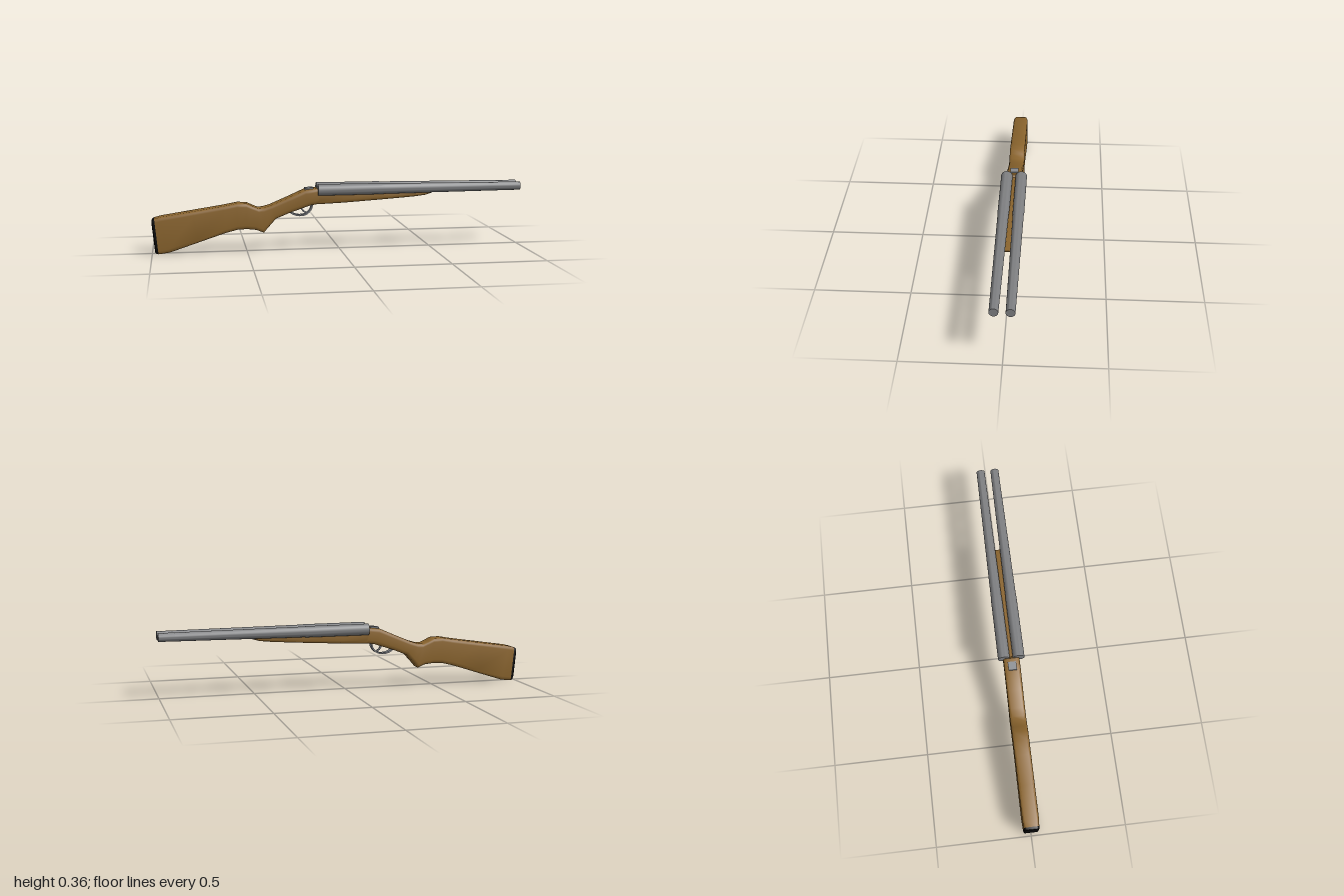
import * as THREE from 'three';
import { toCreasedNormals } from 'three/addons/utils/BufferGeometryUtils.js';

const material = (name, color, side = THREE.FrontSide) => {
  const m = new THREE.MeshStandardMaterial({ color, side });
  m.name = name;
  return m;
};

// Lofts rounded rectangles along x; station = [topX, topY, bottomX, bottomY, halfWidth]
function loft(stations) {
  const pos = [], index = [], N = 16;
  for (const [tx, ty, bx, by, hw] of stations) {
    const hh = (ty - by) / 2, rz = Math.min(0.012, hw * 0.5), ry = Math.min(0.02, hh * 0.5);
    for (let k = 0; k < 4; k++) for (let j = 0; j < 4; j++) {
      const a = (k + j / 3) * Math.PI / 2, mid = (k + 0.5) * Math.PI / 2;
      const z = -(Math.sign(Math.cos(mid)) * (hw - rz) + Math.cos(a) * rz);
      const y = Math.sign(Math.sin(mid)) * (hh - ry) + Math.sin(a) * ry;
      const v = (y + hh) / (2 * hh);
      pos.push(bx + (tx - bx) * v, by + (ty - by) * v, z);
    }
  }
  const last = stations.length - 1;
  for (let s = 0; s < last; s++) for (let i = 0; i < N; i++) {
    const a = s * N + i, b = s * N + (i + 1) % N;
    index.push(a, b, a + N, b, b + N, a + N);
  }
  for (let i = 1; i < N - 1; i++) {
    index.push(0, i + 1, i);
    index.push(last * N, last * N + i, last * N + i + 1);
  }
  const g = new THREE.BufferGeometry();
  g.setAttribute('position', new THREE.Float32BufferAttribute(pos, 3));
  g.setIndex(index);
  return toCreasedNormals(g, 0.65);
}

// Flat strip following a curve in the xy plane
function strip(points, thickness, width) {
  const curve = new THREE.CatmullRomCurve3(points.map(([x, y]) => new THREE.Vector3(x, y, 0)));
  const n = 18, outer = [], inner = [];
  for (let i = 0; i <= n; i++) {
    const p = curve.getPoint(i / n), t = curve.getTangent(i / n), h = thickness / 2;
    outer.push(new THREE.Vector2(p.x + t.y * h, p.y - t.x * h));
    inner.unshift(new THREE.Vector2(p.x - t.y * h, p.y + t.x * h));
  }
  const g = new THREE.ExtrudeGeometry(new THREE.Shape([...outer, ...inner]), { depth: width, bevelEnabled: false });
  g.translate(0, 0, -width / 2);
  return toCreasedNormals(g, 0.6);
}

export function createModel() {
  const wood = material('wood', 0x8a642d);
  const steel = material('barrel steel', 0x7d7e80);
  const fittings = material('fittings steel', 0x888b90);
  const rubber = material('black rubber', 0x080808);

  const model = new THREE.Group();
  const add = (name, geometry, mat) => {
    const mesh = new THREE.Mesh(geometry, mat);
    mesh.name = name;
    model.add(mesh);
    return mesh;
  };

  // Butt, grip, receiver and fore-end in one run of wood
  const butt = [-0.985, 0.193, -0.967, 0.003, 0.04];
  add('stock', loft([
    butt,
    [-0.95, 0.202, -0.91, 0.011, 0.043],
    [-0.78, 0.228, -0.76, 0.06, 0.043],
    [-0.62, 0.252, -0.62, 0.106, 0.043],
    [-0.55, 0.265, -0.55, 0.124, 0.043],
    [-0.5, 0.263, -0.5, 0.126, 0.043],
    [-0.47, 0.249, -0.45, 0.12, 0.043],
    [-0.44, 0.236, -0.41, 0.104, 0.043],
    [-0.41, 0.238, -0.39, 0.128, 0.043],
    [-0.37, 0.25, -0.345, 0.178, 0.043],
    [-0.28, 0.288, -0.27, 0.208, 0.043],
    [-0.19, 0.328, -0.16, 0.245, 0.043],
    [-0.122, 0.336, -0.122, 0.251, 0.043],
    [-0.11, 0.325, -0.11, 0.251, 0.043],
    [0.02, 0.324, 0.02, 0.256, 0.043],
    [0.22, 0.32, 0.22, 0.268, 0.042],
    [0.4, 0.316, 0.4, 0.28, 0.04],
    [0.47, 0.314, 0.47, 0.287, 0.035],
    [0.505, 0.312, 0.505, 0.296, 0.026],
    [0.52, 0.31, 0.52, 0.304, 0.014],
  ]), wood);

  // Recoil pad
  add('buttPad', loft([[-1, 0.178, -0.984, 0.012, 0.035], [-0.997, 0.187, -0.979, 0.006, 0.039], butt]), rubber);

  // Twin barrels: straight breech, then a slight taper to a closed muzzle
  const profile = [[0, 0], [0.031, 0], [0.03, 0.34], [0.0285, 0.36], [0.0225, 1.12], [0, 1.12]]
    .map(([r, l]) => new THREE.Vector2(r, l));
  const barrelGeometry = toCreasedNormals(
    new THREE.LatheGeometry(profile, 24).rotateZ(-Math.PI / 2).translate(-0.12, 0.329, 0), 0.6);
  for (const [name, side] of [['rightBarrel', 1], ['leftBarrel', -1]]) {
    add(name, barrelGeometry, steel).position.z = side * 0.039;
  }

  // Opening latch behind the breech
  const latch = add('latch', new THREE.BoxGeometry(0.045, 0.016, 0.044), fittings);
  latch.position.set(-0.164, 0.331, 0);
  latch.rotation.z = 0.08;

  // Trigger guard and trigger
  add('triggerGuard', strip([
    [-0.275, 0.225], [-0.262, 0.205], [-0.225, 0.19], [-0.185, 0.194], [-0.155, 0.22], [-0.146, 0.255],
  ], 0.008, 0.034), fittings);
  add('trigger', strip([[-0.205, 0.245], [-0.203, 0.225], [-0.195, 0.212], [-0.182, 0.203]], 0.008, 0.012), fittings);

  return model;
}
